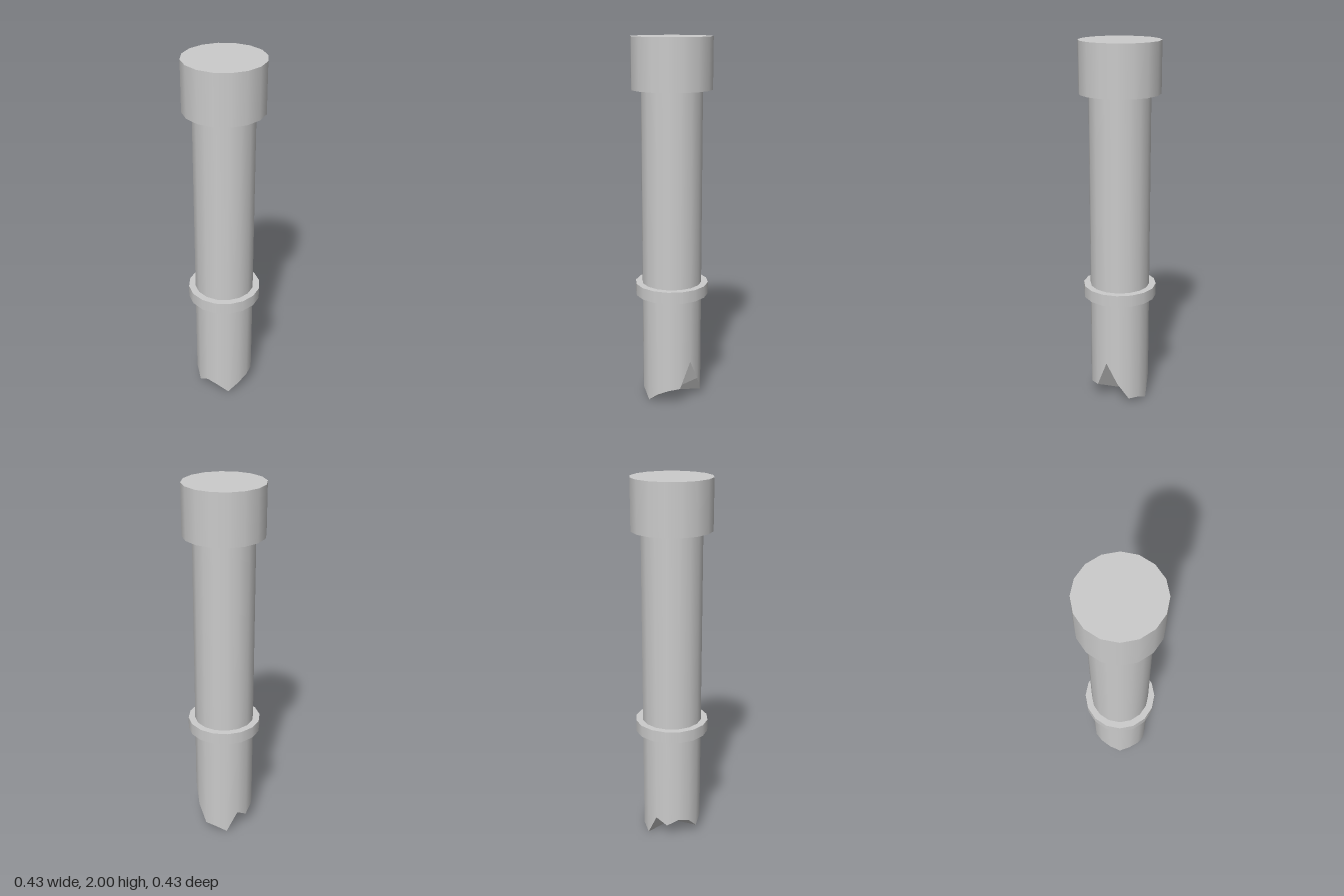
import * as THREE from 'three';

const SIDES = 16;
const SHAFT_RADIUS = 0.163;
// Heights of the broken lower rim, starting at +z and turning towards +x
const RIM = [0.01, 0.06, 0.09, 0.1, 0.25, 0.13, 0.035, 0.03, 0, 0.12, 0.08, 0.115, 0.1, 0.04, 0.08, 0.06];

const rimPoint = (i) => {
  const a = (i / SIDES) * Math.PI * 2;
  return [Math.sin(a) * SHAFT_RADIUS, RIM[i % SIDES], Math.cos(a) * SHAFT_RADIUS];
};

export function createModel() {
  const group = new THREE.Group();
  const material = new THREE.MeshStandardMaterial({ color: 0xcccccc });
  const flat = new THREE.MeshStandardMaterial({ color: 0xcccccc, flatShading: true });

  const add = (name, geometry, mat = material) => {
    const mesh = new THREE.Mesh(geometry, mat);
    mesh.name = name;
    group.add(mesh);
  };
  const drum = (name, radius, bottom, top) => add(name,
    new THREE.CylinderGeometry(radius, radius, top - bottom, SIDES).translate(0, (top + bottom) / 2, 0));

  // Capital and ring
  drum('capital', 0.215, 1.73, 2);
  drum('ring', 0.2, 0.615, 0.68);

  // Shaft: open tube whose lower edge follows the broken rim
  const shaft = new THREE.CylinderGeometry(SHAFT_RADIUS, SHAFT_RADIUS, 1.75, SIDES, 1, true).translate(0, 0.875, 0);
  const pos = shaft.attributes.position;
  for (let i = 0; i <= SIDES; i++) pos.setY(SIDES + 1 + i, RIM[i % SIDES]);
  add('shaft', shaft);

  // Jagged broken underside: facets fanning out from the middle
  const corners = [];
  for (let i = 0; i < SIDES; i++) corners.push(0, 0.02, 0, ...rimPoint(i + 1), ...rimPoint(i));
  const broken = new THREE.BufferGeometry();
  broken.setAttribute('position', new THREE.Float32BufferAttribute(corners, 3));
  broken.computeVertexNormals();
  add('brokenUnderside', broken, flat);

  return group;
}
